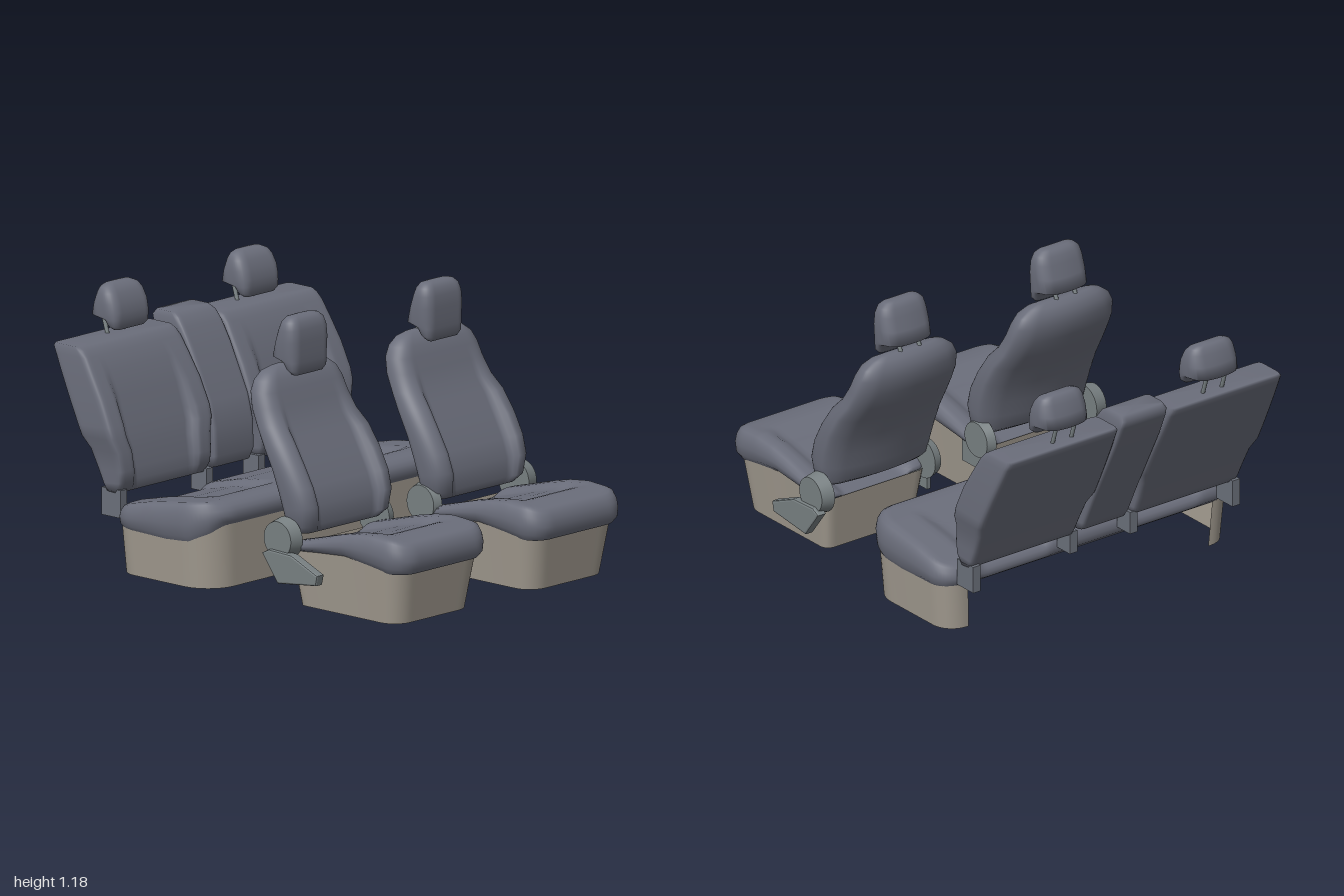
import * as THREE from 'three';

const material = (color) => new THREE.MeshStandardMaterial({ color, side: THREE.DoubleSide });
const fabric = material(0x6a6d7a), skirtMat = material(0xa29b90), plastic = material(0x788082), darkPlastic = material(0x6b707a);

const smooth = THREE.MathUtils.smoothstep;

// Linear lookup in a list of [x, y] points
function table(points, x) {
  if (x <= points[0][0]) return points[0][1];
  for (let i = 1; i < points.length; i++) {
    const [x0, y0] = points[i - 1], [x1, y1] = points[i];
    if (x <= x1) return y0 + (y1 - y0) * (x - x0) / (x1 - x0);
  }
  return points[points.length - 1][1];
}

// Rounded rectangle in plan, starting on its rear side (rf, rb: front and rear radii)
function outline(hx, hz, rf, rb, nx = 12, nz = 40) {
  const pts = [];
  for (let i = 0; i < nz; i++) pts.push([-1, -1 + 2 * i / nz]);
  for (let i = 0; i < nx; i++) pts.push([-1 + 2 * i / nx, 1]);
  for (let i = 0; i < nz; i++) pts.push([1, 1 - 2 * i / nz]);
  for (let i = 0; i < nx; i++) pts.push([1 - 2 * i / nx, -1]);
  return pts.map(([u, v]) => {
    let x = u * hx, z = v * hz;
    const r = Math.min(u > 0 ? rf : rb, hx, hz);
    const qx = Math.abs(x) - hx + r, qz = Math.abs(z) - hz + r;
    if (r > 0 && qx > 0 && qz > 0) {
      const k = Math.max(qx, qz) / Math.hypot(qx, qz);
      x = Math.sign(x) * (hx - r + qx * k);
      z = Math.sign(z) * (hz - r + qz * k);
    }
    return [x, z];
  });
}

// Skin a stack of equal-length rings, with optional flat ends
function loft(rings, { closed = true, caps = false } = {}) {
  const n = rings[0].length, pos = rings.flat(2), index = [];
  for (let j = 0; j < rings.length - 1; j++) {
    for (let i = 0; i < (closed ? n : n - 1); i++) {
      const a = j * n + i, b = j * n + (i + 1) % n;
      index.push(a, b, a + n, b, b + n, a + n);
    }
  }
  const cap = (j, flip) => {
    const c = pos.length / 3, mid = [0, 0, 0];
    rings[j].forEach((p) => p.forEach((v, k) => { mid[k] += v / n; }));
    pos.push(...mid);
    for (let i = 0; i < n; i++) {
      const a = j * n + i, b = j * n + (i + 1) % n;
      index.push(...(flip ? [b, a, c] : [a, b, c]));
    }
  };
  if (caps) {
    cap(0, true);
    cap(rings.length - 1, false);
  }
  const g = new THREE.BufferGeometry();
  g.setAttribute('position', new THREE.Float32BufferAttribute(pos, 3));
  g.setIndex(index);
  g.computeVertexNormals();
  return g;
}

function add(parent, name, geometry, mat, x = 0, y = 0, z = 0) {
  const m = new THREE.Mesh(geometry, mat);
  m.name = name;
  m.position.set(x, y, z);
  parent.add(m);
  return m;
}

// Upright padded body from stations [frontX, frontY, rearX, rearY, halfWidth, recess]
function padded(stations, radius, crown) {
  return loft(stations.map(([fx, fy, bx, by, w, rec = 0]) => {
    const hx = Math.hypot(fx - bx, fy - by) / 2;
    const r = Math.min(radius, hx * 0.95);
    return outline(hx, w, r, r).map(([a, z]) => {
      const b = Math.abs(z) / w;
      let t = a / hx;
      if (t > 0) t -= t * rec / hx * (1 - smooth(b, 0.6, 0.72));
      else t -= t * crown * b * b;
      const k = (t + 1) / 2;
      return [bx + (fx - bx) * k, by + (fy - by) * k, z];
    });
  }), { caps: true });
}

// Seat cushion shell: rolled rim, then inset rings that close along the middle
function cushion({ cx, hx, hz, rf, rb, low, top, nx, nz }) {
  const rows = [[0.025, 0], [0.004, 0.2], [0, 0.5], [0.006, 0.75], [0.02, 0.94], [0.04, 1]];
  for (let k = 1; k <= 10; k++) rows.push([0.04 + k / 10 * (Math.min(hx, hz) - 0.04), 1]);
  return loft(rows.map(([inset, k]) =>
    outline(hx - inset, hz - inset, Math.max(rf - inset, 0), Math.max(rb - inset, 0), nx, nz).map(([x, z]) => {
      const y0 = low(x + cx), y1 = top(x + cx, z);
      return [x + cx, y0 + (y1 - y0) * k, z];
    })));
}

// Tapered wall under a cushion; "ends" > 0 leaves the rear open but for that many corner points
function skirt({ cx, foot, head, rf, rb, low, ends = 0, nx, nz }) {
  const ring = ([hx, hz], y) => {
    const p = outline(hx, hz, rf, rb, nx, nz).map(([x, z]) => [x + cx, y(x + cx), z]);
    return ends ? p.slice(nz - ends).concat(p.slice(0, ends + 1)) : p;
  };
  return loft([ring(foot, () => 0), ring(head, (x) => low(x) + 0.015)], { closed: !ends });
}

// Headrest on two posts, each post running from foot to head in x, y
function headrest(parent, z, stations, foot, head) {
  const g = new THREE.Group();
  g.name = 'headrest';
  g.position.z = z;
  add(g, 'headrestPad', padded(stations, 0.05, 0.25), fabric);
  for (const s of [-0.05, 0.05]) {
    const line = new THREE.LineCurve3(new THREE.Vector3(...foot, s), new THREE.Vector3(...head, s));
    add(g, 'headrestPost', new THREE.TubeGeometry(line, 1, 0.009, 10), plastic);
  }
  parent.add(g);
}

function frontSeat(side) {
  const seat = new THREE.Group();
  seat.name = side > 0 ? 'leftFrontSeat' : 'rightFrontSeat';
  seat.position.z = side * 0.415;
  const low = (x) => table([[0.33, 0.235], [0.5, 0.25], [0.65, 0.26], [0.8, 0.24], [0.9, 0.225]], x);
  const crest = [[0.33, 0.27], [0.5, 0.315], [0.6, 0.342], [0.7, 0.364], [0.8, 0.375], [0.92, 0.367], [0.99, 0.345]];
  const top = (x, z) => table(crest, x)
    - 0.028 * (1 - smooth(Math.abs(z), 0.15, 0.205)) * (1 - smooth(x, 0.74, 0.86));
  add(seat, 'cushion', cushion({ cx: 0.665, hx: 0.332, hz: 0.286, rf: 0.11, rb: 0.06, low, top, nx: 36, nz: 36 }), fabric);
  add(seat, 'baseSkirt', skirt({ cx: 0.64, foot: [0.28, 0.238], head: [0.318, 0.265], rf: 0.09, rb: 0.04, low, nx: 28, nz: 28 }), skirtMat);
  add(seat, 'backrest', padded([
    [0.4, 0.31, 0.29, 0.32, 0.25], [0.435, 0.345, 0.265, 0.335, 0.28, 0.02], [0.445, 0.43, 0.245, 0.4, 0.29, 0.035],
    [0.42, 0.51, 0.225, 0.47, 0.295, 0.04], [0.37, 0.6, 0.195, 0.56, 0.297, 0.04], [0.31, 0.69, 0.14, 0.66, 0.292, 0.03],
    [0.255, 0.75, 0.095, 0.73, 0.277, 0.015], [0.215, 0.82, 0.052, 0.81, 0.267], [0.192, 0.88, 0.037, 0.88, 0.257],
    [0.175, 0.925, 0.042, 0.925, 0.232], [0.15, 0.955, 0.06, 0.957, 0.19], [0.125, 0.97, 0.085, 0.972, 0.14]], 0.075, 0.5), fabric);
  headrest(seat, 0, [
    [0.2, 0.935, 0.168, 0.945, 0.09], [0.21, 0.955, 0.15, 0.965, 0.11], [0.214, 0.99, 0.125, 0.995, 0.117],
    [0.215, 1.02, 0.063, 1.005, 0.121], [0.217, 1.08, 0.08, 1.065, 0.123], [0.214, 1.13, 0.098, 1.125, 0.12],
    [0.204, 1.163, 0.11, 1.16, 0.11], [0.187, 1.18, 0.126, 1.18, 0.088], [0.17, 1.185, 0.142, 1.185, 0.06]],
  [0.085, 0.95], [0.12, 1.03]);

  // Recliner on the outer side: round cover and a lever panel in front of it
  const panel = new THREE.Shape([[0.35, 0.11], [0.57, 0.135], [0.58, 0.18], [0.43, 0.245], [0.3, 0.25], [0.26, 0.23]]
    .map((p) => new THREE.Vector2(...p)));
  const panelGeo = new THREE.ExtrudeGeometry(panel, { depth: 0.03, bevelThickness: 0.008, bevelSize: 0.008, bevelOffset: -0.008, bevelSegments: 2 });
  add(seat, 'leverPanel', panelGeo, plastic, 0, 0, side > 0 ? 0.322 : -0.352);
  for (const [name, z, depth] of [['reclinerCover', 0.312, 0.06], ['hingeDisc', -0.272, 0.04]]) {
    const disc = add(seat, name, new THREE.CylinderGeometry(0.078, 0.09, depth, 32), plastic, 0.335, 0.295, side * z);
    disc.rotation.x = side * Math.sign(z) * Math.PI / 2;
  }
  add(seat, 'hingeFoot', new THREE.BoxGeometry(0.14, 0.13, 0.02), plastic, 0.38, 0.22, -side * 0.268);
  return seat;
}

function rearBench() {
  const bench = new THREE.Group();
  bench.name = 'rearBench';
  const low = (x) => table([[-0.61, 0.195], [-0.3, 0.182], [-0.17, 0.19], [-0.09, 0.23], [-0.05, 0.275]], x);
  const crest = [[-0.61, 0.285], [-0.4, 0.335], [-0.2, 0.365], [-0.1, 0.375], [-0.05, 0.36]];
  // Two seat hollows either side of the flat middle place
  const top = (x, z) => table(crest, x)
    - 0.025 * (1 - smooth(Math.abs(Math.abs(z) - 0.4), 0.15, 0.21)) * (1 - smooth(x, -0.27, -0.15));
  const count = { nx: 24, nz: 80 };
  add(bench, 'benchCushion', cushion({ cx: -0.322, hx: 0.29, hz: 0.782, rf: 0.17, rb: 0.11, low, top, ...count }), fabric);
  add(bench, 'benchSkirt', skirt({ cx: -0.328, foot: [0.268, 0.75], head: [0.279, 0.765], rf: 0.15, rb: 0.1, low, ends: 6, ...count }), skirtMat);

  for (const side of [-1, 1]) {
    add(bench, 'sideBackrest', padded([
      [-0.63, 0.325, -0.7, 0.33, 0.278], [-0.605, 0.37, -0.715, 0.36, 0.282, 0.02], [-0.6, 0.42, -0.74, 0.415, 0.284, 0.03],
      [-0.61, 0.5, -0.78, 0.5, 0.29, 0.035], [-0.625, 0.56, -0.81, 0.555, 0.314, 0.035], [-0.64, 0.61, -0.83, 0.6, 0.316, 0.035],
      [-0.69, 0.72, -0.885, 0.71, 0.312, 0.02], [-0.75, 0.82, -0.935, 0.81, 0.306], [-0.79, 0.885, -0.972, 0.885, 0.3],
      [-0.815, 0.912, -0.988, 0.914, 0.296], [-0.835, 0.925, -0.982, 0.925, 0.29]], 0.022, 0), fabric, 0, 0, side * 0.435);
    headrest(bench, side * 0.4, [
      [-0.84, 0.955, -0.875, 0.96, 0.09], [-0.83, 0.972, -0.89, 0.975, 0.11], [-0.827, 1, -0.91, 0.998, 0.117],
      [-0.826, 1.03, -0.992, 1.005, 0.121], [-0.835, 1.07, -0.98, 1.06, 0.121], [-0.853, 1.11, -0.963, 1.11, 0.115],
      [-0.873, 1.132, -0.95, 1.133, 0.1], [-0.895, 1.145, -0.937, 1.145, 0.07]], [-0.925, 0.91], [-0.96, 1.02]);
    add(bench, 'backrestBracket', new THREE.BoxGeometry(0.11, 0.12, 0.04), darkPlastic, -0.665, 0.28, side * 0.69);
    add(bench, 'innerBracket', new THREE.BoxGeometry(0.09, 0.1, 0.04), darkPlastic, -0.655, 0.29, side * 0.16);
  }
  add(bench, 'middleBackrest', padded([
    [-0.635, 0.33, -0.7, 0.335, 0.12], [-0.615, 0.38, -0.72, 0.37, 0.126], [-0.62, 0.5, -0.78, 0.5, 0.127],
    [-0.65, 0.61, -0.83, 0.6, 0.127], [-0.75, 0.82, -0.935, 0.81, 0.127], [-0.8, 0.905, -0.975, 0.905, 0.126],
    [-0.83, 0.945, -0.987, 0.94, 0.122], [-0.86, 0.963, -0.97, 0.963, 0.112]], 0.02, 0), fabric);
  return bench;
}

export function createModel() {
  const model = new THREE.Group();
  model.name = 'carSeats';
  model.add(frontSeat(1), frontSeat(-1), rearBench());
  return model;
}
